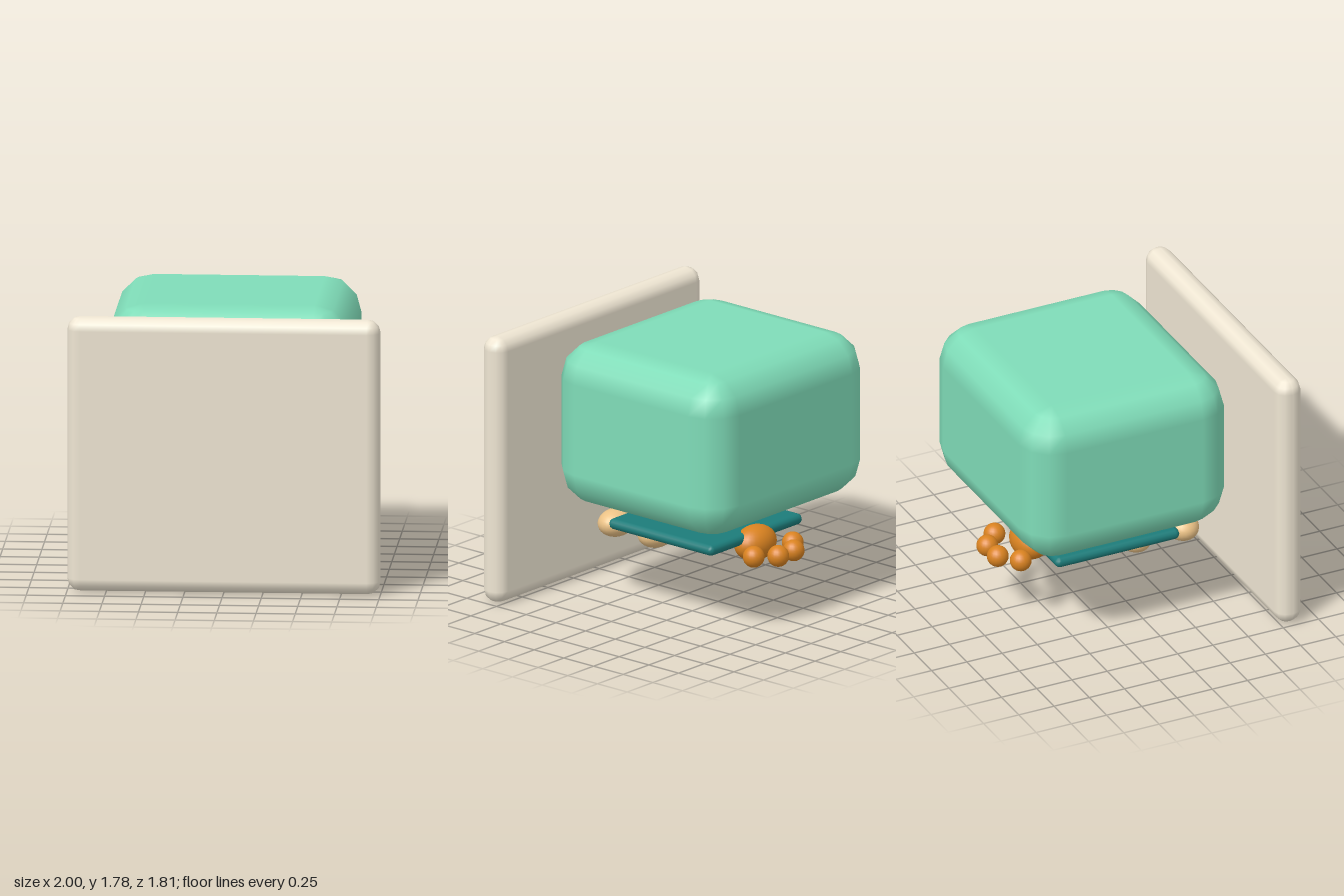
import * as THREE from 'three';

const material = (color) => new THREE.MeshStandardMaterial({ color });
const STEP = Math.PI / 6; // corners turn in three steps of 30 degrees

// Rounded box: a plane wrapped around as latitude/longitude, with each octant pushed out to its corner
function roundedBox(w, h, d, r) {
  const geo = new THREE.PlaneGeometry(1, 1, 16, 9);
  const pos = geo.attributes.position, nor = geo.attributes.normal;
  for (let i = 0; i < pos.count; i++) {
    const col = i % 17, row = Math.floor(i / 17);
    const quad = Math.floor(col / 4) % 4;
    const theta = (quad * 3 + (col % 4)) * STEP;
    const top = row <= 4;
    const sy = top ? 1 : -1;
    if (row === 0 || row === 9) { // centre of the top and bottom faces
      pos.setXYZ(i, 0, sy * h / 2, 0);
      nor.setXYZ(i, 0, sy, 0);
      continue;
    }
    const phi = (top ? row - 1 : row - 2) * STEP;
    const sx = quad < 2 ? 1 : -1;
    const sz = quad === 0 || quad === 3 ? 1 : -1;
    const nx = Math.sin(phi) * Math.sin(theta);
    const ny = Math.cos(phi);
    const nz = Math.sin(phi) * Math.cos(theta);
    pos.setXYZ(i, sx * (w / 2 - r) + r * nx, sy * (h / 2 - r) + r * ny, sz * (d / 2 - r) + r * nz);
    nor.setXYZ(i, nx, ny, nz);
  }
  return geo;
}

export function createModel() {
  const model = new THREE.Group();
  model.name = 'model';

  const add = (parent, name, geometry, mat, x, y, z) => {
    const mesh = new THREE.Mesh(geometry, mat);
    mesh.name = name;
    mesh.position.set(x, y, z);
    parent.add(mesh);
    return mesh;
  };

  // Large upright panel at the front
  add(model, 'frontPanel', roundedBox(2, 1.78, 0.18, 0.085), material(0xefe6d3), 0, 0.89, 0.815);

  // Mint body block
  add(model, 'body', roundedBox(1.56, 1.075, 1.43, 0.235), material(0x7fdcb8), 0, 1.2275, -0.19);

  // Thin plate floating under the body
  add(model, 'underPlate', roundedBox(0.9, 0.07, 0.88, 0.034), material(0x1c7c7a), 0, 0.515, -0.145);

  // Two rows of three egg-shaped beads
  const beads = new THREE.Group();
  beads.name = 'beads';
  const beadGeo = new THREE.SphereGeometry(1, 24, 16).scale(0.132, 0.09, 0.108);
  const beadMat = material(0xebc286);
  for (const z of [0.4, 0.065]) {
    for (const x of [-0.24, 0, 0.24]) add(beads, 'bead', beadGeo, beadMat, x, 0.45, z);
  }
  model.add(beads);

  // Paw at the back: a wide pad with four toes
  const paw = new THREE.Group();
  paw.name = 'paw';
  const pawMat = material(0xd98220);
  const padGeo = new THREE.SphereGeometry(1, 28, 18).scale(0.16, 0.116, 0.116);
  const toeGeo = new THREE.SphereGeometry(0.07, 20, 14);
  add(paw, 'pad', padGeo, pawMat, 0, 0.466, -0.565);
  for (const side of [-1, 1]) {
    add(paw, 'outerToe', toeGeo, pawMat, side * 0.19, 0.45, -0.715);
    add(paw, 'innerToe', toeGeo, pawMat, side * 0.075, 0.45, -0.822);
  }
  model.add(paw);

  return model;
}
